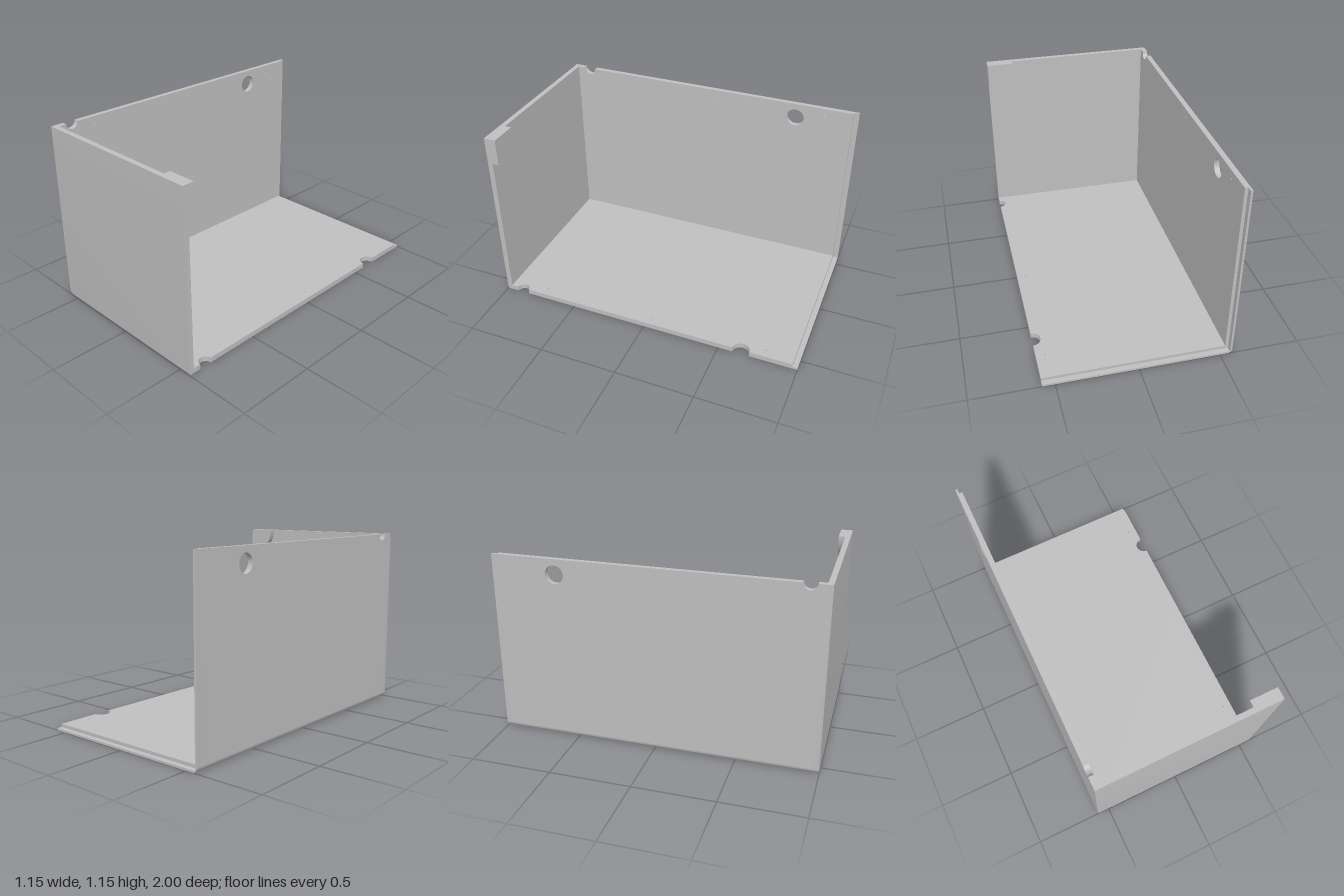
import * as THREE from 'three';
import { toCreasedNormals } from 'three/addons/utils/BufferGeometryUtils.js';

const X = 0.577, H = 1.155, T = 0.033, LIP = 0.013; // half width, height, wall and rear lip thickness
const PIN_Z = [-0.79, -0.04, 0.72], PIN_R = 0.006;

export function createModel() {
  const group = new THREE.Group();
  const grey = new THREE.MeshStandardMaterial({ color: 0xbfbfbf });
  grey.name = 'light grey';

  const add = (name, geometry, parent = group) => {
    const mesh = new THREE.Mesh(toCreasedNormals(geometry, 0.6), grey);
    mesh.name = name;
    parent.add(mesh);
    return mesh;
  };
  const extrude = (shape, depth, z = 0, steps = 1) =>
    new THREE.ExtrudeGeometry(shape, { depth, steps, bevelEnabled: false, curveSegments: 24 }).translate(0, 0, z);

  // L-shaped section with a rounded outer corner
  const angleSection = (thick, wallTop, floorEnd) => {
    const s = new THREE.Shape();
    s.moveTo(-X, wallTop);
    s.lineTo(-X, T);
    s.absarc(-X + T, T, T, Math.PI, Math.PI * 1.5, false);
    s.lineTo(floorEnd, 0);
    s.lineTo(floorEnd, thick);
    s.lineTo(-X + thick, thick);
    s.lineTo(-X + thick, wallTop);
    s.closePath();
    return s;
  };

  // Flat plate: u runs toward the back, v toward its free edge, w through it.
  // notches are [z, radius] in rising z; holes are [z, v, radius].
  const plate = (name, v0, v1, notches, holes, pinV, pinOuterW, matrix) => {
    const part = new THREE.Group();
    part.name = name;
    const end = 1 - T, s = new THREE.Shape();
    s.moveTo(-end, v0);
    s.lineTo(end, v0);
    s.lineTo(end, v1);
    for (const [z, r] of notches) {
      s.lineTo(-z + r, v1);
      s.absarc(-z, v1, r, 0, -Math.PI, true);
    }
    s.lineTo(-end, v1);
    s.closePath();
    const pins = PIN_Z.map((z) => [z, pinV, PIN_R]);
    for (const [z, v, r] of [...holes, ...pins]) {
      const hole = new THREE.Path();
      hole.absarc(-z, v, r, 0, Math.PI * 2, true);
      s.holes.push(hole);
    }
    add(name + 'Panel', extrude(s, T).applyMatrix4(matrix), part);
    // plugs close the outer half of each pin hole
    for (const [z, v, r] of pins) {
      const plug = new THREE.CylinderGeometry(r, r, T / 2, 24).rotateX(Math.PI / 2);
      plug.translate(-z, v, pinOuterW ? T * 0.75 : T * 0.25);
      add(name + 'PinHoleEnd', plug.applyMatrix4(matrix), part);
    }
    group.add(part);
  };

  const u = new THREE.Vector3(0, 0, -1);
  const ex = new THREE.Vector3(1, 0, 0), ey = new THREE.Vector3(0, 1, 0);
  const wallFrame = new THREE.Matrix4().makeBasis(u, ey, ex).setPosition(-X, 0, 0);
  const floorFrame = new THREE.Matrix4().makeBasis(u, ex, ey.clone().negate()).setPosition(0, T, 0);
  plate('sideWall', T, H, [[0.88, 0.04]], [[-0.6, 1.06, 0.057]], 1.105, false, wallFrame);
  plate('floor', -X + T, X, [[-0.645, 0.053], [0.88, 0.04]], [], 0.522, true, floorFrame);

  // rounded corner strip joining wall and floor
  const corner = new THREE.Shape();
  corner.moveTo(-X, T);
  corner.absarc(-X + T, T, T, Math.PI, Math.PI * 1.5, false);
  corner.lineTo(-X + T, T);
  corner.closePath();
  add('cornerStrip', extrude(corner, 2 - 2 * T, -1 + T));

  // thin rear lip that receives a back panel
  add('rearLip', extrude(angleSection(LIP, H, X), T, -1));

  // front panel, its lower front edge rolled over
  const face = new THREE.Shape();
  face.moveTo(X, 0);
  face.lineTo(X, H);
  face.lineTo(-X, H);
  face.lineTo(-X, T);
  face.absarc(-X + T, T, T, Math.PI, Math.PI * 1.5, false);
  face.closePath();
  const steps = 8, roll = 0.012;
  const front = extrude(face, steps, 0, steps);
  const p = front.attributes.position;
  for (let i = 0; i < p.count; i++) {
    const k = Math.round(p.getZ(i));
    const a = k < 1 ? 0 : ((k - 1) / (steps - 1)) * Math.PI / 2;
    const inset = roll * (1 - Math.cos(a));
    p.setY(i, inset + p.getY(i) * (1 - inset / H));
    p.setZ(i, k < 1 ? 1 - T : 1 - roll + roll * Math.sin(a));
  }
  add('frontPanel', front);

  // quarter-round block behind the front panel's free top corner
  const block = new THREE.Shape();
  block.moveTo(X, H);
  block.lineTo(0.4, H);
  block.absarc(0.57, H, 0.17, Math.PI, Math.PI * 1.5, false);
  block.lineTo(X, H - 0.17);
  block.closePath();
  add('cornerBlock', extrude(block, 0.042, 1 - T - 0.042));

  return group;
}
